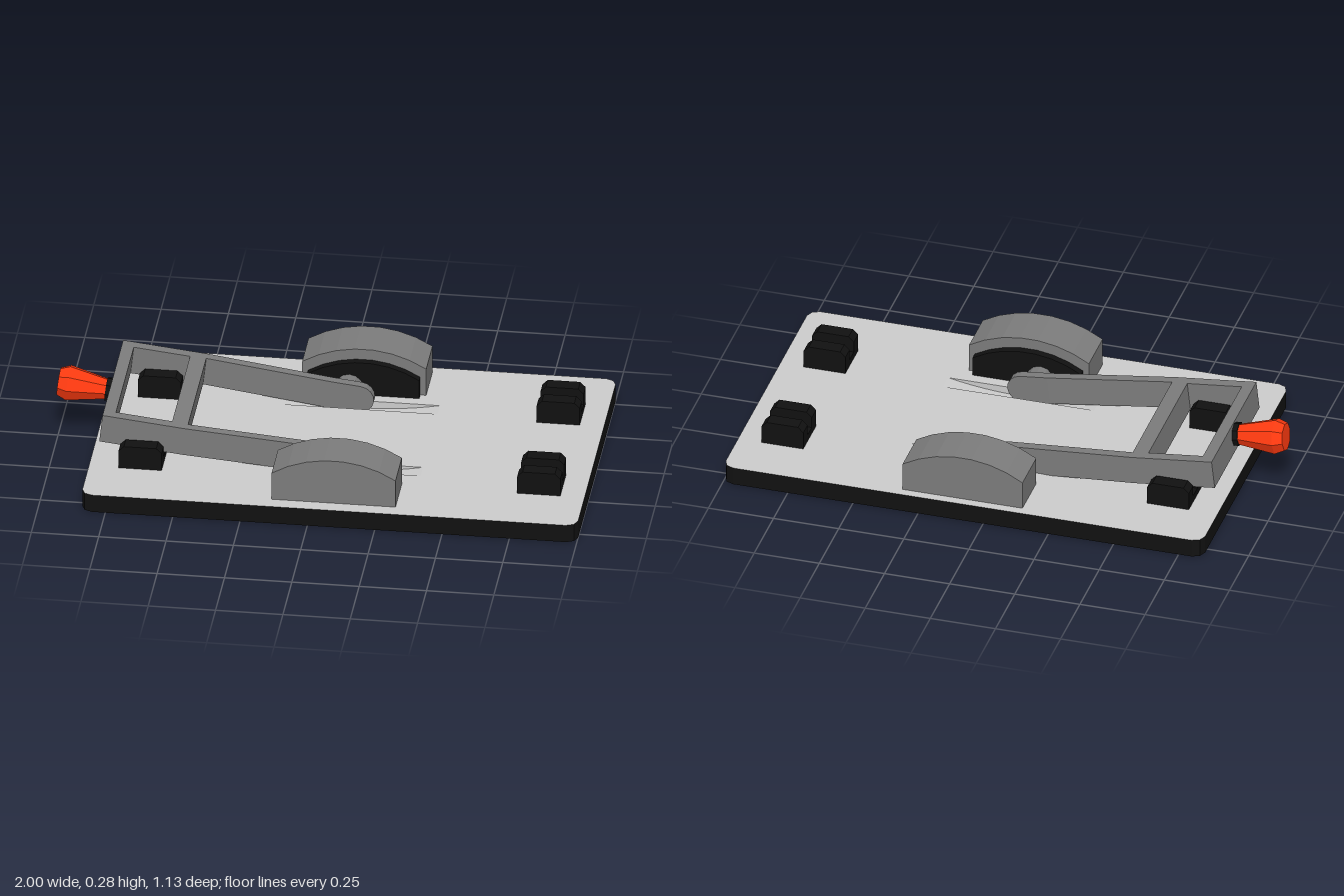
import * as THREE from 'three';

const mat = (color) => new THREE.MeshStandardMaterial({ color, flatShading: true, side: THREE.DoubleSide });
const light = mat(0xcccccc), grey = mat(0x7c7c7c), black = mat(0x111111), red = mat(0xff3a10);

const TOP = 0.07; // upper face of the base plate
const SLOPE = -0.11; // tilt of the swing frame
const SLOT = { x: 0.09, half: 0.29, depth: 0.03, z0: 0.205, z1: 0.27 };

function mesh(parent, name, geometry, material, x = 0, y = 0, z = 0) {
  const m = new THREE.Mesh(geometry, material);
  m.name = name;
  m.position.set(x, y, z);
  parent.add(m);
  return m;
}

const poly = (points) => new THREE.Shape(points.map(([x, y]) => new THREE.Vector2(x, y)));
const rect = (x0, y0, x1, y1) => poly([[x0, y0], [x1, y0], [x1, y1], [x0, y1]]);
const extrude = (shape, depth) => new THREE.ExtrudeGeometry(shape, { depth, bevelEnabled: false, curveSegments: 8 });

// Flat-bottomed profile with an arched top
function archShape(half, shoulder, top, steps = 7) {
  const rise = top - shoulder, r = (half * half + rise * rise) / (2 * rise);
  const a = Math.asin(half / r), pts = [[-half, 0], [half, 0]];
  for (let i = 0; i <= steps; i++) {
    const t = a - (2 * a * i) / steps;
    pts.push([r * Math.sin(t), top - r + r * Math.cos(t)]);
  }
  return poly(pts);
}

function createBase() {
  const g = new THREE.Group();
  g.name = 'base';
  const x0 = -0.84, x1 = 1, w = 0.565, c = 0.04, d = 0.012;
  const outline = () => poly([
    [x0 + c, -w], [x1 - c, -w], [x1 - d, -w + d], [x1, -w + c],
    [x1, w - c], [x1 - d, w - d], [x1 - c, w],
    [x0 + c, w], [x0 + d, w - d], [x0, w - c], [x0, -w + c], [x0 + d, -w + d],
  ]);

  // Black rim: only the side walls of the extrusion are drawn
  const rim = extrude(outline(), TOP).rotateX(-Math.PI / 2);
  const hidden = new THREE.MeshStandardMaterial({ color: 0x111111, visible: false });
  mesh(g, 'baseRim', rim, [hidden, black]);
  mesh(g, 'baseUnderside', new THREE.ShapeGeometry(outline()).rotateX(Math.PI / 2), light);

  // Top face with two openings for the arm slots
  const face = outline();
  for (const s of [1, -1]) {
    const a = -(s * SLOT.z0 - 0.01), b = -(s * SLOT.z1 - 0.01);
    face.holes.push(rect(SLOT.x - SLOT.half, Math.min(a, b), SLOT.x + SLOT.half, Math.max(a, b)));
  }
  mesh(g, 'baseTop', new THREE.ShapeGeometry(face).rotateX(-Math.PI / 2), light, 0, TOP, 0);
  return g;
}

// Shallow curved slot sunk into the base below each arm tip
function addSlot(parent, s) {
  const { x, half, depth, z0, z1 } = SLOT;
  const r = (half * half + depth * depth) / (2 * depth), a = Math.asin(half / r);
  const width = z1 - z0, cy = TOP - depth + r;
  const floor = new THREE.CylinderGeometry(r, r, width, 12, 1, true, -a, 2 * a).rotateX(Math.PI / 2);
  mesh(parent, 'slotFloor', floor, light, x, cy, s * (z0 + z1) / 2);
  const pts = [];
  for (let i = 0; i <= 12; i++) {
    const t = -a + (2 * a * i) / 12;
    pts.push([r * Math.sin(t), -r * Math.cos(t)]);
  }
  for (const z of [z0, z1]) mesh(parent, 'slotWall', new THREE.ShapeGeometry(poly(pts)), light, x, cy, s * z);
}

// Notched clip: two chamfered prongs joined by a low web
function createClip() {
  const g = new THREE.Group();
  g.name = 'clip';
  const h = 0.08, c = 0.02;
  const prong = poly([[-h, 0], [h, 0], [h, 0.09 - c], [h - c, 0.09], [c - h, 0.09], [-h, 0.09 - c]]);
  for (const s of [1, -1]) mesh(g, 'clipProng', extrude(prong, 0.055), black, 0, 0, s * 0.055 - 0.0275);
  mesh(g, 'clipWeb', new THREE.BoxGeometry(2 * h, 0.027, 0.055), black, 0, 0.0135, 0);
  return g;
}

function createSwingFrame() {
  const g = new THREE.Group();
  g.name = 'swingFrame';
  const half = [[0, 0.29], [0.31, 0.29], [0.79, 0.265], [0.895, 0.265], [0.895, 0.23], [0.79, 0.23], [0.315, 0.254]];
  const plan = poly([...half, ...half.map(([x, z]) => [x, -z]).reverse()]);
  plan.holes.push(rect(0.045, -0.25, 0.255, 0.25));
  mesh(g, 'frameAndArms', extrude(plan, 0.11).rotateX(-Math.PI / 2), grey);

  // Rounded arm tips
  for (const s of [1, -1]) {
    const tip = new THREE.CylinderGeometry(0.055, 0.055, 0.035, 16).rotateX(Math.PI / 2);
    mesh(g, 'armTip', tip, grey, 0.895, 0.055, s * 0.2475);
  }

  // Faceted grip with a dark collar
  const profile = [[0, 0], [0.038, 0], [0.068, 0.15], [0.053, 0.186], [0, 0.186]].map(([r, y]) => new THREE.Vector2(r, y));
  mesh(g, 'handle', new THREE.LatheGeometry(profile, 8).rotateZ(Math.PI / 2), red, -0.01, 0.06, 0);
  mesh(g, 'handleCollar', new THREE.CylinderGeometry(0.045, 0.045, 0.02, 8).rotateZ(Math.PI / 2), black, -0.009, 0.06, 0);

  g.position.set(-0.81, 0.14, 0);
  g.rotation.z = SLOPE;
  return g;
}

export function createModel() {
  const model = new THREE.Group();
  model.name = 'hingedFramePlate';
  model.add(createBase());

  const fittings = new THREE.Group();
  fittings.name = 'fittings';
  fittings.position.z = -0.01;
  model.add(fittings);
  fittings.add(createSwingFrame());

  for (const s of [1, -1]) {
    addSlot(fittings, s);
    // Arched housing, inner black plate and pivot
    mesh(fittings, 'housing', extrude(archShape(0.23, 0.11, 0.177), 0.178), grey, 0.09, TOP, s * 0.43 - 0.089);
    mesh(fittings, 'housingPlate', extrude(archShape(0.208, 0.075, 0.135), 0.03), black, 0.09, TOP, s * 0.328 - 0.015);
    const pivot = new THREE.CylinderGeometry(0.052, 0.052, 0.07, 12).rotateX(Math.PI / 2);
    mesh(fittings, 'pivot', pivot, grey, 0.038, 0.102, s * 0.285);
    for (const x of [-0.65, 0.83]) {
      const clip = createClip();
      clip.position.set(x, TOP, s * 0.2725);
      fittings.add(clip);
    }
  }
  return model;
}
